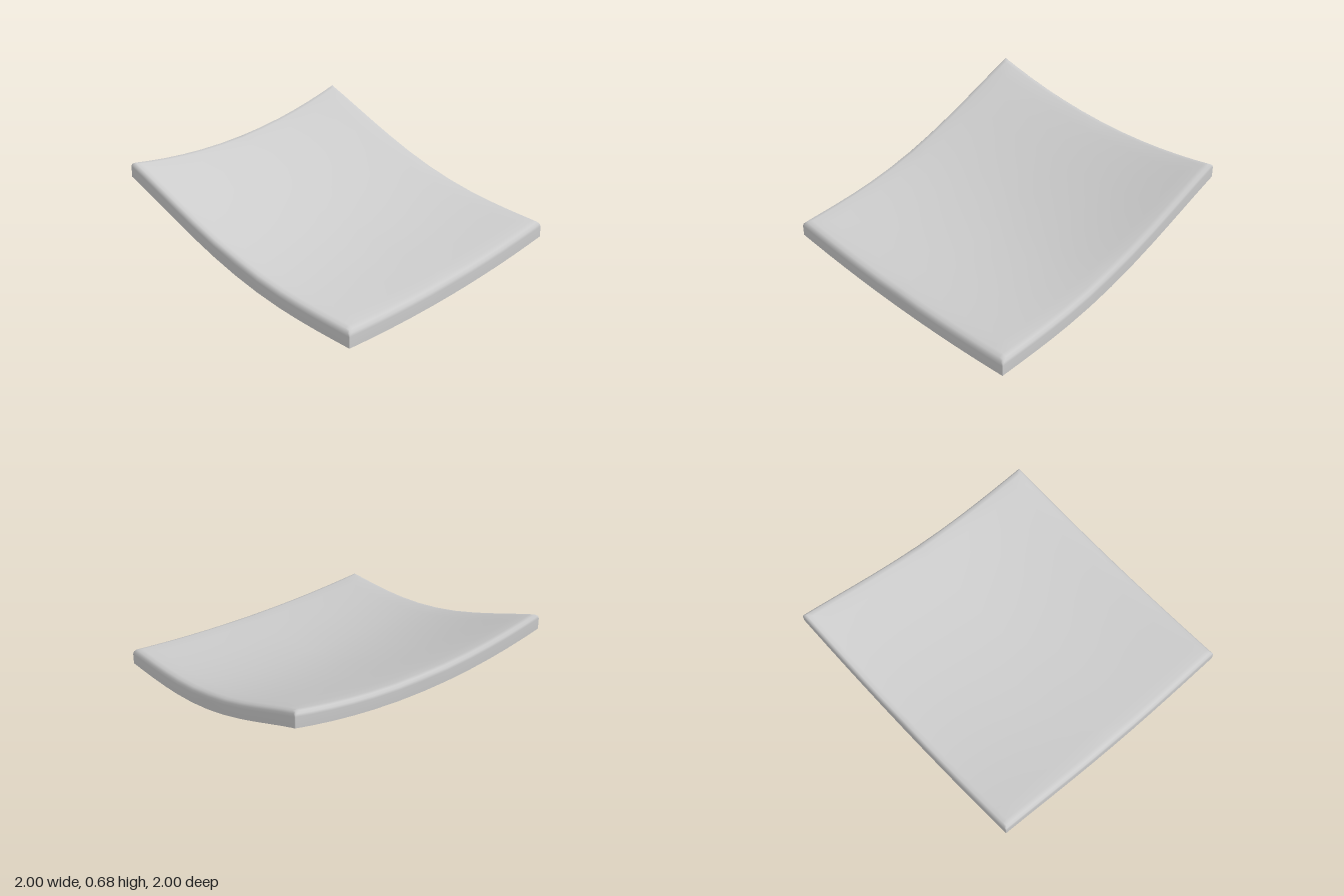
import * as THREE from 'three';
import { mergeVertices } from 'three/addons/utils/BufferGeometryUtils.js';

// Half cross-section from the middle out: [distance from centre, drop below the top surface]
const half = [[0.2, 0], [0.4, 0], [0.56, 0], [0.72, 0], [0.86, 0], [0.95, 0.002], [0.98, 0.012],
  [0.995, 0.03], [1, 0.05], [1, 0.13]];
const section = [...half.map(([p, d]) => [-p, d]).reverse(), [0, 0], ...half];

// Height of the curved top: rises towards the back and sags across the middle
function topHeight(x, z) {
  const side = 0.31 - 0.26 * z + 0.13 * z * z + (1 - z * z) * (0.045 * z * z - 0.02 * z);
  const sag = THREE.MathUtils.lerp(0.05, 0.12, (1 - z) / 2);
  return side - sag * (1 - x * x);
}

// Square shell, open underneath, with a rounded rim turned down on all four sides
function shellGeometry() {
  const n = section.length, positions = [], index = [];
  for (const [x, dx] of section) {
    for (const [z, dz] of section) positions.push(x, topHeight(x, z) - Math.max(dx, dz), z);
  }
  for (let i = 0; i < n - 1; i++) {
    for (let j = 0; j < n - 1; j++) {
      const a = i * n + j, b = a + 1, c = a + n, d = c + 1;
      // Mirror the diagonal so that the corners match
      if ((i < n / 2 - 1) === (j < n / 2 - 1)) index.push(a, b, d, a, d, c);
      else index.push(a, b, c, b, d, c);
    }
  }
  const geometry = new THREE.BufferGeometry();
  geometry.setAttribute('position', new THREE.Float32BufferAttribute(positions, 3));
  geometry.setIndex(index);
  const welded = mergeVertices(geometry, 1e-5);
  welded.computeVertexNormals();
  return welded;
}

export function createModel() {
  const group = new THREE.Group();
  group.name = 'curvedTile';
  const material = new THREE.MeshStandardMaterial({ color: 0xcccccc, side: THREE.DoubleSide });
  const shell = new THREE.Mesh(shellGeometry(), material);
  shell.name = 'curvedShell';
  group.add(shell);
  return group;
}
